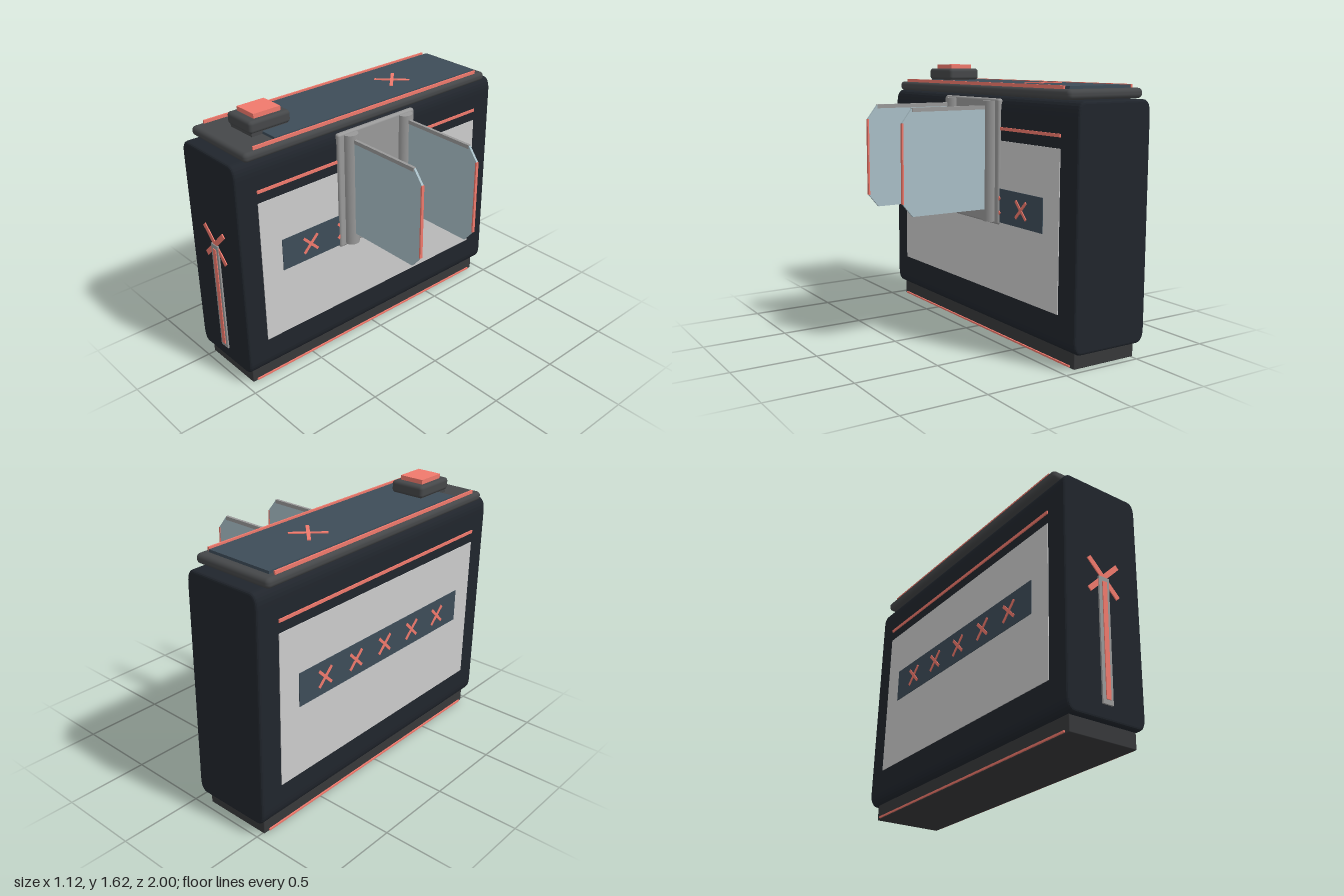
import * as THREE from 'three';
import { RoundedBoxGeometry } from 'three/addons/geometries/RoundedBoxGeometry.js';

const mat = (color) => new THREE.MeshStandardMaterial({ color });

export function createModel() {
  const model = new THREE.Group();
  const shell = mat(0x20252c), trim = mat(0x454749), baseMat = mat(0x37383a), navy = mat(0x3d4c58);
  const coral = mat(0xf0796c), grey = mat(0xcccccc), metal = mat(0x999999), glass = mat(0xa9bfc7);
  const CX = -0.3; // centre of the case across x

  const add = (name, geometry, material, x = 0, y = 0, z = 0, parent = model) => {
    const mesh = new THREE.Mesh(geometry, material);
    mesh.name = name;
    mesh.position.set(x, y, z);
    parent.add(mesh);
    return mesh;
  };
  // Box given by its limits on each axis, rounded when r > 0
  const box = (name, material, [x0, x1], [y0, y1], [z0, z1], r = 0, parent = model) => {
    const size = [x1 - x0, y1 - y0, z1 - z0];
    const geometry = r ? new RoundedBoxGeometry(...size, 3, r) : new THREE.BoxGeometry(...size);
    return add(name, geometry, material, (x0 + x1) / 2, (y0 + y1) / 2, (z0 + z1) / 2, parent);
  };
  // Two crossed bars lying in the xy plane
  const cross = (name, half, width, depth) => {
    const group = new THREE.Group();
    group.name = name;
    for (const s of [-1, 1]) {
      const bar = add('crossBar', new THREE.BoxGeometry(half * 2.7, width, depth), coral, 0, 0, 0, group);
      bar.rotation.z = s * Math.PI / 4;
    }
    model.add(group);
    return group;
  };

  // Case: rounded front outline run along z with a small bevel
  const b = 0.015, w = 0.25 - b, h = 0.68 - b, rx = 0.035, ry = 0.07;
  const outline = new THREE.Shape();
  outline.moveTo(-w + rx, -h);
  outline.lineTo(w - rx, -h);
  outline.quadraticCurveTo(w, -h, w, -h + ry);
  outline.lineTo(w, h - ry);
  outline.quadraticCurveTo(w, h, w - rx, h);
  outline.lineTo(-w + rx, h);
  outline.quadraticCurveTo(-w, h, -w, h - ry);
  outline.lineTo(-w, -h + ry);
  outline.quadraticCurveTo(-w, -h, -w + rx, -h);
  const caseGeometry = new THREE.ExtrudeGeometry(outline, {
    depth: 1.985 - 2 * b, bevelEnabled: true, bevelSize: b, bevelThickness: b, bevelSegments: 3, curveSegments: 6,
  });
  add('case', caseGeometry, shell, CX, 0.77, -1 + b);

  // Base and top cap
  box('base', baseMat, [-0.512, -0.088], [0, 0.1], [-0.955, 0.95], 0.005);
  box('topCap', trim, [-0.56, -0.04], [1.452, 1.508], [-0.93, 0.915], 0.024);
  box('topPanel', navy, [-0.512, -0.088], [1.5, 1.524], [-0.875, 0.685]);
  box('buttonBase', trim, [-0.412, -0.19], [1.525, 1.598], [0.495, 0.77], 0.02);
  box('buttonStem', trim, [-0.4, -0.2], [1.5, 1.54], [0.51, 0.755]);
  box('button', coral, [-0.38, -0.224], [1.59, 1.625], [0.54, 0.72]);
  const topCross = cross('topCross', 0.08, 0.02, 0.01);
  topCross.rotation.x = -Math.PI / 2;
  topCross.position.set(CX, 1.524, -0.365);

  // Both long sides
  for (const s of [-1, 1]) {
    const slab = (name, material, near, far, y, z) =>
      box(name, material, [CX + s * near, CX + s * far].sort((p, q) => p - q), y, z);
    slab('sidePanel', grey, 0.24, 0.254, [0.29, 1.195], [-0.855, 0.85]);
    slab('sideBand', navy, 0.24, 0.258, [0.715, 0.915], [-0.715, 0.71]);
    slab('sideStripe', coral, 0.24, 0.257, [1.256, 1.274], [-0.855, 0.85]);
    slab('baseStripe', coral, 0.2, 0.221, [0.006, 0.016], [-0.92, 0.92]);
    slab('topStripe', coral, 0.23, 0.24, [1.5, 1.527], [-0.86, 0.845]);
    for (let i = -2; i <= 2; i++) {
      const mark = cross('sideCross', 0.052, 0.017, 0.008);
      mark.rotation.y = Math.PI / 2;
      mark.position.set(CX + s * 0.259, 0.815, i * 0.256 - 0.002);
    }
  }

  // Front strip and cross
  cross('frontCross', 0.1, 0.03, 0.01).position.set(CX, 0.885, 0.986);
  box('frontStrip', metal, [-0.335, -0.268], [0.175, 0.885], [0.97, 0.995]);
  box('frontStripInlay', coral, [-0.315, -0.286], [0.2, 0.858], [0.98, 1]);

  // Hinge plate on the left side
  box('hingePlate', metal, [-0.066, -0.03], [0.7, 1.437], [-0.3, 0.294], 0.014);

  // Two chamfered wings, each on its own hinge post
  const wingShape = new THREE.Shape([
    [-0.02, 0.787], [0.495, 0.787], [0.556, 0.86], [0.556, 1.315], [0.495, 1.393], [-0.02, 1.393],
  ].map(([x, y]) => new THREE.Vector2(x, y)));
  for (const z of [0.206, -0.22]) {
    const wing = new THREE.Group();
    wing.name = 'wing';
    wing.position.z = z;
    model.add(wing);
    add('hingePost', new THREE.CylinderGeometry(0.048, 0.048, 0.71, 20), metal, -0.033, 1.07, 0, wing);
    add('wingPane', new THREE.ExtrudeGeometry(wingShape, { depth: 0.014, bevelEnabled: false }), glass, 0, 0, -0.007, wing);
    box('wingTopRail', metal, [0, 0.494], [1.374, 1.397], [-0.009, 0.009], 0, wing);
    box('wingEdge', coral, [0.551, 0.56], [0.862, 1.313], [-0.009, 0.009], 0, wing);
  }
  return model;
}
